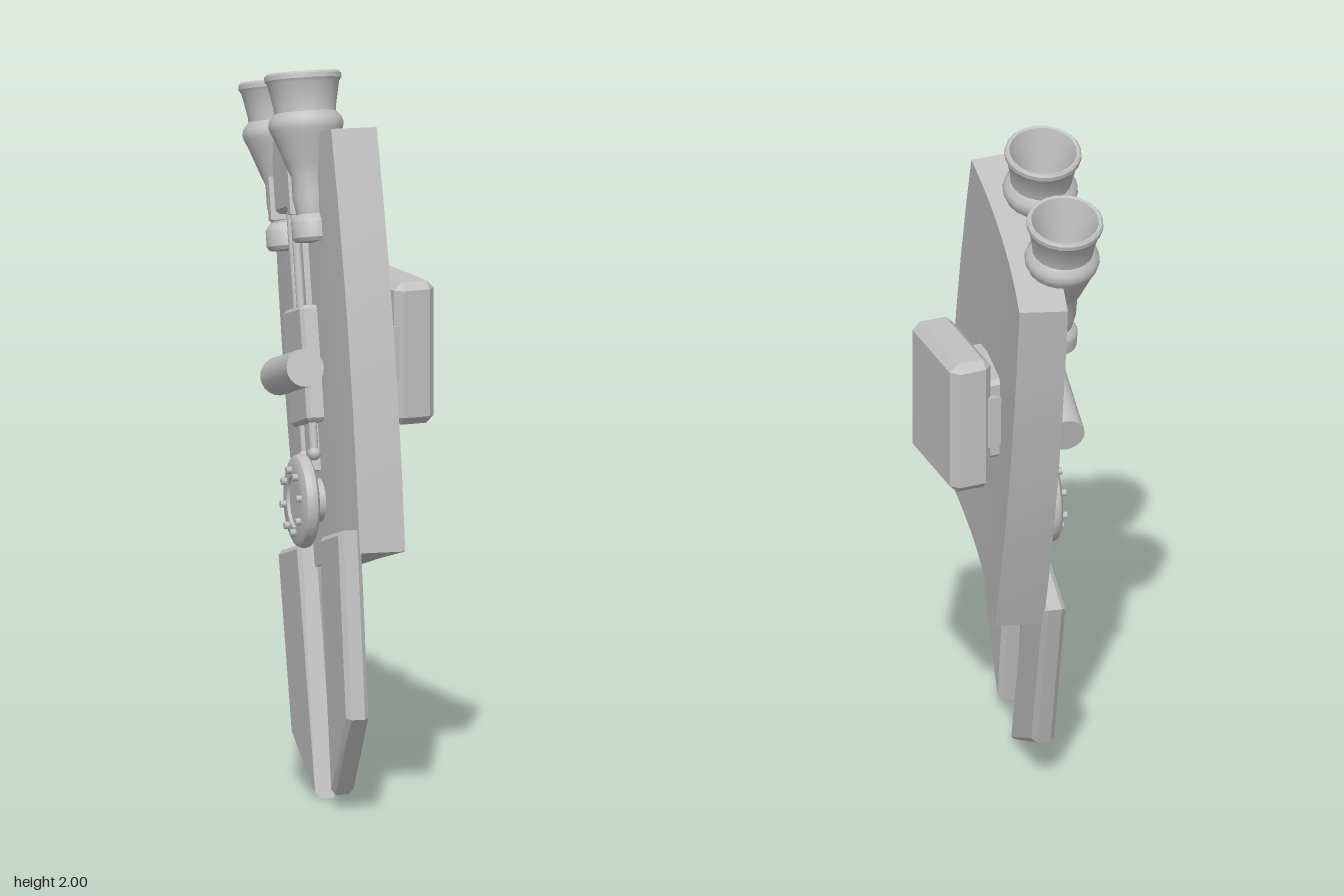
import * as THREE from 'three';
import { toCreasedNormals } from 'three/addons/utils/BufferGeometryUtils.js';
import { ConvexGeometry } from 'three/addons/geometries/ConvexGeometry.js';

const grey = new THREE.MeshStandardMaterial({ color: 0xc0c0c0 });
grey.name = 'plain grey';

function add(parent, name, geometry, x = 0, y = 0, z = 0) {
  const mesh = new THREE.Mesh(geometry, grey);
  mesh.name = name;
  mesh.position.set(x, y, z);
  parent.add(mesh);
  return mesh;
}

const box = (w, h, d) => new THREE.BoxGeometry(w, h, d);

// Box with flat chamfers on every edge
function chamferBox(w, h, d, c) {
  const points = [];
  for (const x of [-1, 1]) for (const y of [-1, 1]) for (const z of [-1, 1]) {
    for (const [i, j, k] of [[0, c, c], [c, 0, c], [c, c, 0]]) {
      points.push(new THREE.Vector3(x * (w / 2 - i), y * (h / 2 - j), z * (d / 2 - k)));
    }
  }
  return new ConvexGeometry(points);
}

// Turned part with sharp edges where the profile bends strongly
function turned(profile, sides) {
  const points = profile.map(([r, y]) => new THREE.Vector2(r, y));
  return toCreasedNormals(new THREE.LatheGeometry(points, sides), 0.6);
}

// Slab with barrel-shaped sides, slightly dished on its outer face
function shieldGeometry() {
  const geometry = new THREE.BoxGeometry(0.133, 1.168, 0.624, 1, 6, 8);
  const p = geometry.attributes.position;
  for (let i = 0; i < p.count; i++) {
    const t = p.getY(i) / 0.584, s = p.getZ(i) / 0.312;
    const inner = p.getX(i) < 0 ? 1.045 : 1;
    p.setX(i, p.getX(i) - 0.0665 - 0.016 * (1 - s * s));
    p.setZ(i, p.getZ(i) * inner * (1 + 0.11 * (1 - t * t)));
  }
  return toCreasedNormals(geometry, 0.5);
}

// Bevelled fin from an outline of [z, y] points
function finGeometry(outline) {
  const b = 0.013;
  const shape = new THREE.Shape(outline.map(([z, y]) => new THREE.Vector2(z, y)));
  const geometry = new THREE.ExtrudeGeometry(shape, {
    depth: 0.064 - 2 * b, bevelThickness: b, bevelSize: b, bevelOffset: -b, bevelSegments: 1,
  });
  return geometry.translate(0, 0, b).rotateY(-Math.PI / 2);
}

export function createModel() {
  const model = new THREE.Group();
  model.name = 'thrusterPack';

  // Tilted frame: x out of the shield, y along it, z across it
  const pack = new THREE.Group();
  pack.name = 'tiltedPack';
  pack.quaternion.setFromRotationMatrix(new THREE.Matrix4().makeBasis(
    new THREE.Vector3(0.984, 0.0025, 0.172),
    new THREE.Vector3(0.041, 0.967, -0.249),
    new THREE.Vector3(-0.167, 0.252, 0.953)));
  pack.position.set(0.064, 1.2135, -0.0175);
  model.add(pack);

  add(pack, 'shield', shieldGeometry());

  // Lower fins
  add(pack, 'frontFin', finGeometry(
    [[0.112, -0.52], [0.06, -1.225], [0.291, -1.038], [0.34, -0.52]]), -0.127);
  add(pack, 'backFin', finGeometry(
    [[-0.342, -0.52], [-0.329, -1.024], [-0.099, -1.222], [-0.115, -0.52]]), -0.127);

  // Twin nozzles
  const nozzle = turned([
    [0, 0.29], [0.05, 0.29], [0.058, 0.3], [0.058, 0.345], [0.05, 0.357], [0.042, 0.365],
    [0.05, 0.41], [0.05, 0.47], [0.062, 0.5], [0.09, 0.575], [0.101, 0.598], [0.104, 0.612],
    [0.1, 0.628], [0.085, 0.645], [0.086, 0.66], [0.099, 0.725], [0.106, 0.735],
    [0.106, 0.748], [0.101, 0.754], [0.093, 0.752], [0.034, 0.6], [0, 0.6]], 20);
  for (const side of [-1, 1]) {
    add(pack, 'nozzle', nozzle, -0.155, 0, side * 0.142);
    add(pack, 'nozzleBracket', box(0.05, 0.12, 0.03), -0.185, 0.43, side * 0.105);
    add(pack, 'fuelRod', new THREE.CylinderGeometry(0.012, 0.012, 0.3, 10), -0.172, 0.25, side * 0.022);
  }

  // Spine between the nozzles
  add(pack, 'upperBlock', chamferBox(0.075, 0.22, 0.2, 0.012), -0.16, 0.495, 0);
  add(pack, 'spine', box(0.05, 0.32, 0.11), -0.14, 0.25, 0);
  add(pack, 'engineBox', chamferBox(0.07, 0.32, 0.2, 0.01), -0.16, -0.04, 0);
  add(pack, 'crossTank', new THREE.CylinderGeometry(0.053, 0.053, 0.29, 20).rotateX(Math.PI / 2),
    -0.204, -0.055, 0);
  add(pack, 'lowerBracket', box(0.045, 0.14, 0.06), -0.15, -0.26, 0);
  for (const side of [-1, 1]) {
    add(pack, 'lowerPipe', new THREE.CylinderGeometry(0.012, 0.012, 0.1, 10), -0.17, -0.24, side * 0.05);
    add(pack, 'pipeEnd', new THREE.SphereGeometry(0.019, 10, 8), -0.17, -0.285, side * 0.05);
  }

  // Round valve cover with a ring of bolts
  const wheel = new THREE.Group();
  wheel.name = 'valveWheel';
  wheel.position.set(-0.18, -0.41, 0);
  wheel.rotation.z = Math.PI / 2;
  pack.add(wheel);
  add(wheel, 'valveCover', turned([
    [0, -0.05], [0.06, -0.05], [0.06, 0], [0.115, 0], [0.127, 0.008], [0.13, 0.022],
    [0.124, 0.037], [0.108, 0.045], [0.072, 0.045], [0.068, 0.037], [0, 0.037]], 28));
  for (let i = 0; i < 8; i++) {
    const a = i * Math.PI / 4;
    add(wheel, 'bolt', new THREE.CylinderGeometry(0.01, 0.01, 0.02, 8),
      0.086 * Math.cos(a), 0.05, 0.086 * Math.sin(a));
  }

  // Upright outer pad on its mount
  add(model, 'pad', chamferBox(0.12, 0.397, 0.31, 0.022), 0.168, 1.212, -0.042);
  add(model, 'padMount', chamferBox(0.1, 0.24, 0.23, 0.012), 0.083, 1.21, -0.055);
  add(model, 'padHinge', new THREE.CylinderGeometry(0.077, 0.077, 0.29, 20).rotateX(Math.PI / 2),
    0.108, 1.213, -0.042);

  return model;
}
